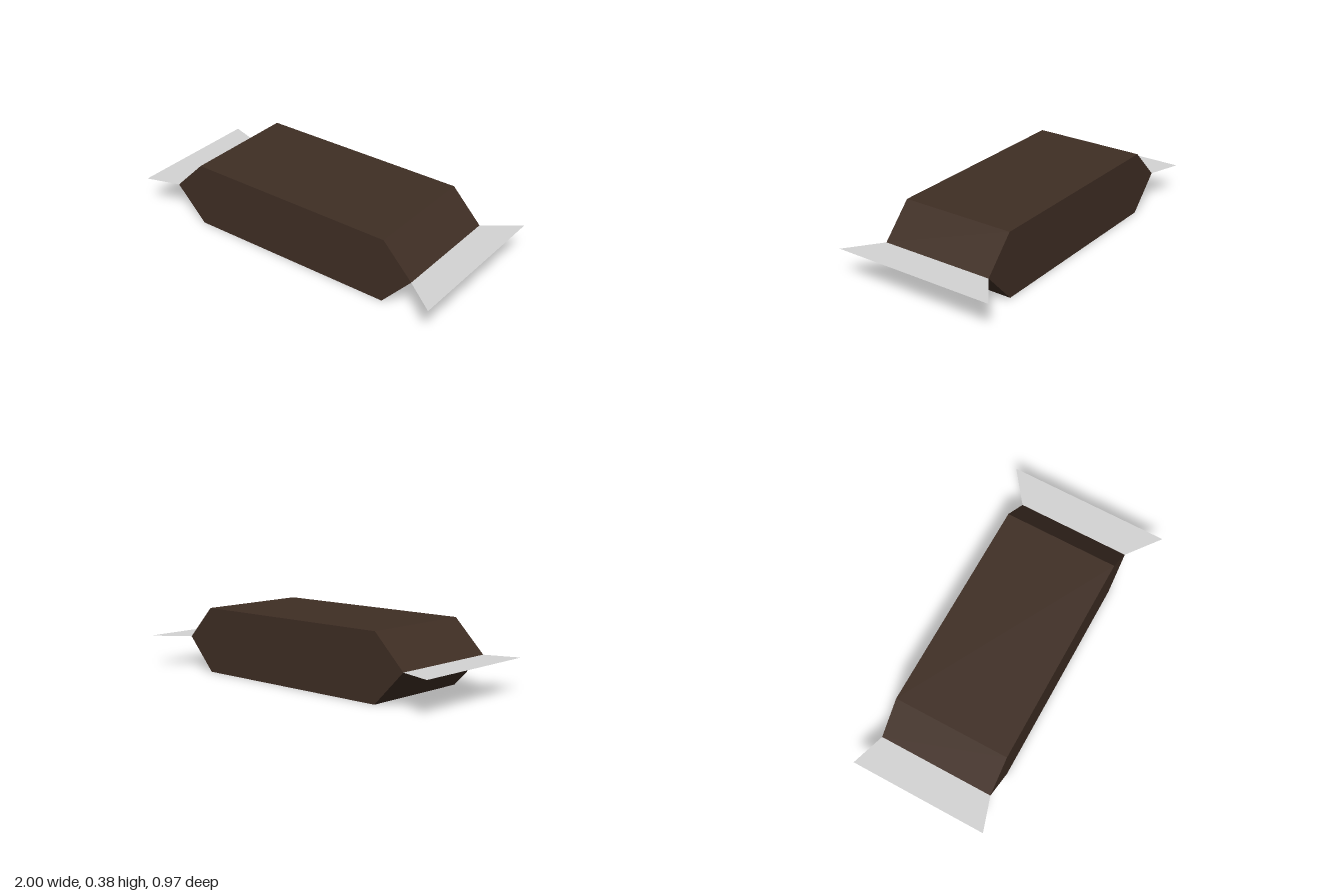
import * as THREE from 'three';

const MID = 0.19, HALF_DEPTH = 0.337;

// Flat shape in the xz plane at mid height
function flap(side, flare, material) {
  const shape = new THREE.Shape([
    [0.805, -HALF_DEPTH], [1, -flare], [1, flare], [0.805, HALF_DEPTH],
  ].map(([x, z]) => new THREE.Vector2(side * x, z)));
  const geometry = new THREE.ShapeGeometry(shape);
  geometry.rotateX(-Math.PI / 2);
  geometry.translate(0, MID, 0);
  return new THREE.Mesh(geometry, material);
}

export function createModel() {
  const group = new THREE.Group();
  group.name = 'wrappedCandy';

  const brown = new THREE.MeshStandardMaterial({ color: 0x3f2e24, flatShading: true });
  brown.name = 'chocolate brown';
  const foil = new THREE.MeshStandardMaterial({ color: 0xd4d4d4, side: THREE.DoubleSide });
  foil.name = 'pale grey wrapper';

  // Six-sided bar with pointed ends, extruded front to back
  const profile = new THREE.Shape([
    [-0.62, 0], [0.63, 0], [0.805, MID], [0.63, 0.375], [-0.62, 0.375], [-0.805, MID],
  ].map(([x, y]) => new THREE.Vector2(x, y)));
  const bar = new THREE.ExtrudeGeometry(profile, { depth: HALF_DEPTH * 2, bevelEnabled: false });
  bar.translate(0, 0, -HALF_DEPTH);
  const body = new THREE.Mesh(bar, brown);
  body.name = 'candyBody';
  group.add(body);

  // Flared wrapper ends, the left one wider
  const left = flap(1, 0.485, foil);
  left.name = 'leftWrapperEnd';
  const right = flap(-1, 0.4, foil);
  right.name = 'rightWrapperEnd';
  group.add(left, right);

  return group;
}
